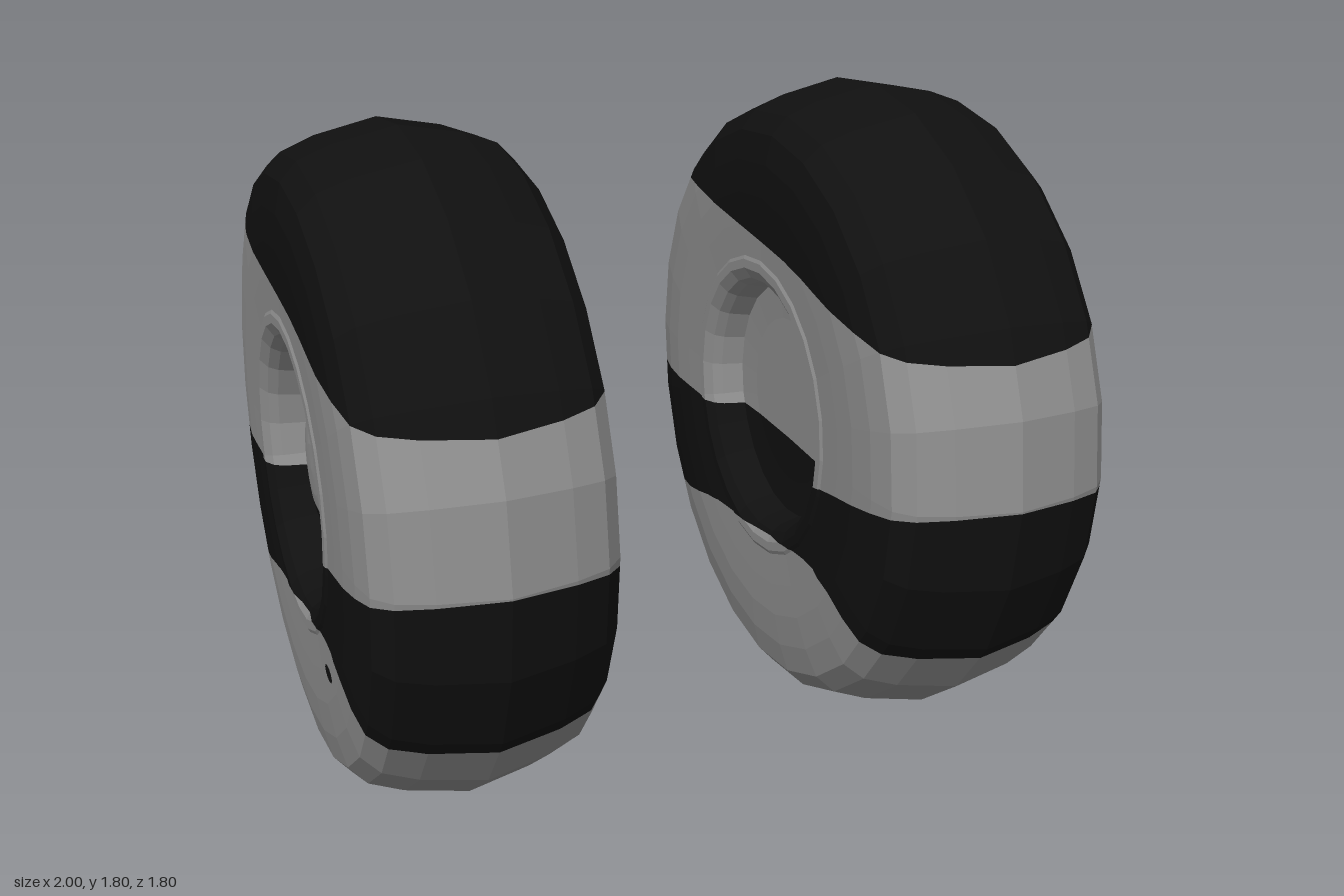
import * as THREE from 'three';

const black = new THREE.MeshStandardMaterial({ color: 0x101010 });
black.name = 'black paint';
const grey = new THREE.MeshStandardMaterial({ color: 0x8e8e8e });
grey.name = 'grey paint';
for (const m of [black, grey]) m.flatShading = true;

const RADIUS = 0.9, CENTRE_X = 0.667, SEGMENTS = 24;

// Stripe edges from top to bottom, each a line of [z, y] points
const EDGES = [
  [[-0.95, 1.44], [-0.72, 1.42], [-0.5, 1.42], [0, 1.385], [0.2, 1.37], [0.4, 1.33], [0.6, 1.3], [0.83, 1.26], [0.95, 1.24]],
  [[-0.95, 0.77], [-0.5, 0.78], [0, 0.785], [0.25, 0.78], [0.5, 0.83], [0.9, 0.895], [0.95, 0.9]],
  [[-0.95, 0.36], [-0.73, 0.4], [-0.5, 0.44], [-0.3, 0.49], [0, 0.52], [0.25, 0.56], [0.42, 0.575], [0.6, 0.48], [0.73, 0.41], [0.95, 0.33]],
];

function edgeHeight(edge, z) {
  let i = 1;
  while (i < edge.length - 1 && z > edge[i][0]) i++;
  const [z0, y0] = edge[i - 1], [z1, y1] = edge[i];
  return y0 + (y1 - y0) * (z - z0) / (z1 - z0);
}

// Part of a polygon above (sign 1) or below (sign -1) a stripe edge
function clip(poly, edge, sign) {
  const out = [];
  poly.forEach((a, i) => {
    const b = poly[(i + 1) % poly.length];
    const ga = sign * (a.y - edgeHeight(edge, a.z));
    const gb = sign * (b.y - edgeHeight(edge, b.z));
    if (ga >= 0) out.push(a);
    if ((ga >= 0) !== (gb >= 0)) out.push(a.clone().lerp(b, ga / (ga - gb)));
  });
  return out;
}

// Cut a surface along the stripe edges and give alternate bands black and grey
function stripedMesh(geometry, name) {
  const source = geometry.toNonIndexed().getAttribute('position');
  const bands = [[], []];
  const store = (poly, band) => {
    for (let k = 1; k < poly.length - 1; k++) {
      const tri = new THREE.Triangle(poly[0], poly[k], poly[k + 1]);
      if (tri.getArea() < 1e-8) continue;
      for (const v of [tri.a, tri.b, tri.c]) bands[band % 2].push(v.x, v.y, v.z);
    }
  };
  for (let i = 0; i < source.count; i += 3) {
    let poly = [0, 1, 2].map(k => new THREE.Vector3().fromBufferAttribute(source, i + k));
    EDGES.forEach((edge, band) => {
      store(clip(poly, edge, 1), band);
      poly = clip(poly, edge, -1);
    });
    store(poly, EDGES.length);
  }
  const result = new THREE.BufferGeometry();
  result.setAttribute('position', new THREE.Float32BufferAttribute(bands[0].concat(bands[1]), 3));
  result.addGroup(0, bands[0].length / 3, 0);
  result.addGroup(bands[0].length / 3, bands[1].length / 3, 1);
  result.computeVertexNormals();
  const mesh = new THREE.Mesh(result, [black, grey]);
  mesh.name = name;
  return mesh;
}

// Profiles as [radius, offset], running from the inner face to the outer face
const half = [[0.43, 0.328], [0.52, 0.33], [0.61, 0.33], [0.7, 0.322], [0.78, 0.305], [0.83, 0.26], [0.865, 0.17]];
const PROFILES = {
  tyre: [...half.map(([r, h]) => [r, -h]), [RADIUS, 0], ...half.slice().reverse()],
  innerRim: [[0, -0.225], [0.12, -0.225], [0.24, -0.225], [0.335, -0.23], [0.35, -0.29], [0.365, -0.315], [0.395, -0.333], [0.42, -0.333], [0.43, -0.328]],
  outerRim: [[0.43, 0.328], [0.42, 0.333], [0.395, 0.333], [0.365, 0.315], [0.35, 0.29], [0.33, 0.19], [0.24, 0.18]],
  hub: [[0.24, 0.18], [0.225, 0.21], [0.19, 0.24], [0.145, 0.26], [0.07, 0.272], [0, 0.275]],
};

function createWheel(side) {
  const wheel = new THREE.Group();
  wheel.name = side > 0 ? 'leftWheel' : 'rightWheel';
  for (const [name, profile] of Object.entries(PROFILES)) {
    const geometry = new THREE.LatheGeometry(profile.map(p => new THREE.Vector2(...p)), SEGMENTS);
    geometry.rotateZ(-side * Math.PI / 2);
    geometry.translate(side * CENTRE_X, RADIUS, 0);
    wheel.add(stripedMesh(geometry, name));
  }
  // Small paint spot on the outer sidewall
  const spot = new THREE.Mesh(new THREE.CircleGeometry(0.04, 10), black);
  spot.name = 'paintSpot';
  spot.scale.y = 0.5;
  spot.rotation.y = side * Math.PI / 2;
  spot.position.set(side * (CENTRE_X + 0.333), 0.49, 0.36);
  wheel.add(spot);
  return wheel;
}

export function createModel() {
  const model = new THREE.Group();
  model.name = 'wheelPair';
  for (const side of [1, -1]) model.add(createWheel(side));
  return model;
}
